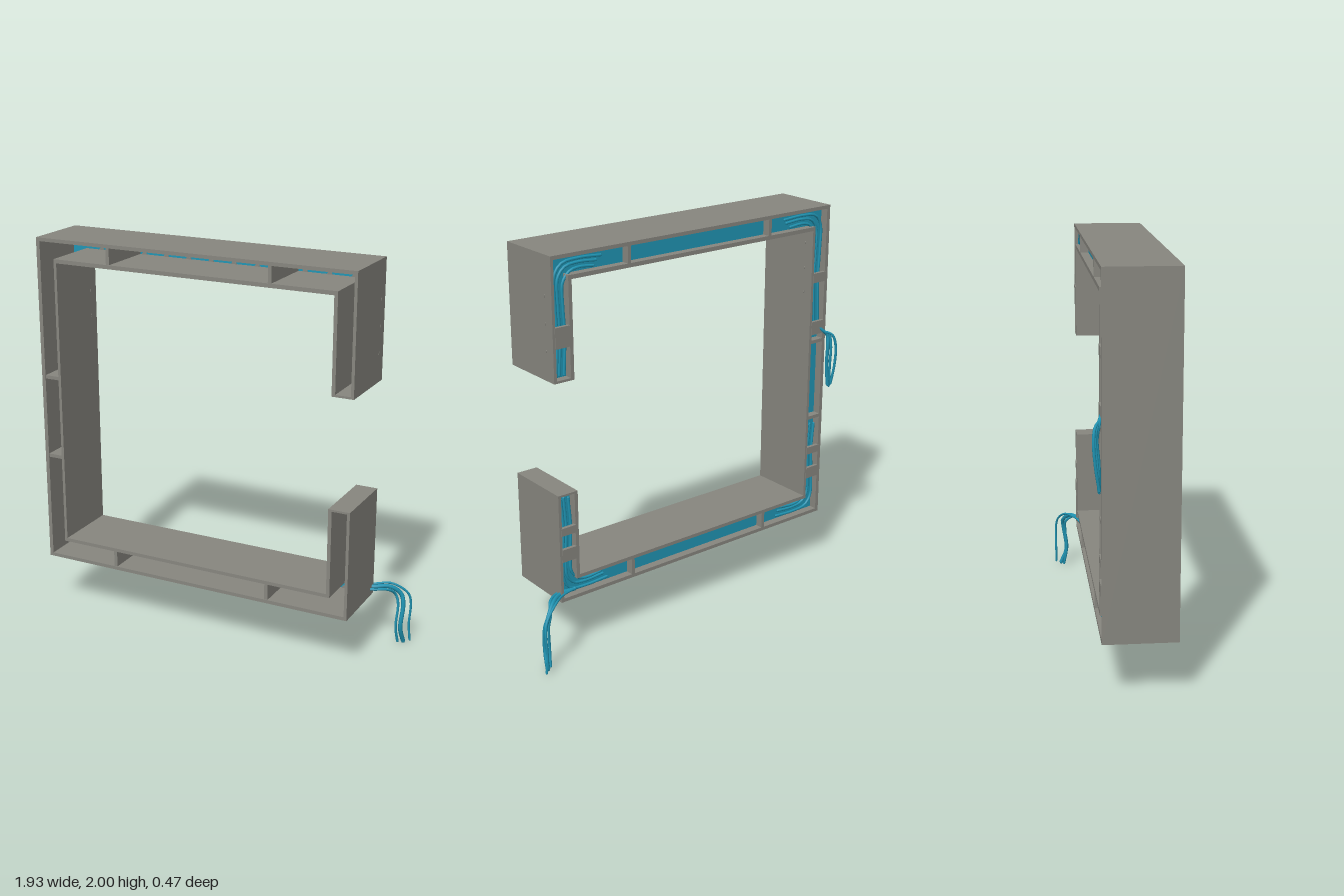
import * as THREE from 'three';

const grey = new THREE.MeshStandardMaterial({ color: 0x87867f });
grey.name = 'warm grey';
const teal = new THREE.MeshStandardMaterial({ color: 0x2095b4 });
teal.name = 'cable teal';

// Height of the duct's cross-section planes
const BACK = -0.12, FRONT = 0.235;

// C-shaped outline: outer rectangle, inner rectangle and the gap on the +x side
function outline(Type, x0, x1, y0, y1, ix0, ix1, iy0, iy1, gap0, gap1) {
  const p = [[x0, y0], [x1, y0], [x1, gap0], [ix1, gap0], [ix1, iy0], [ix0, iy0],
    [ix0, iy1], [ix1, iy1], [ix1, gap1], [x1, gap1], [x1, y1], [x0, y1]];
  return new Type(p.map(([x, y]) => new THREE.Vector2(x, y)));
}
const channel = (Type) => outline(Type, -0.89, 0.775, 0.308, 1.982, -0.812, 0.698, 0.392, 1.9, 0.842, 1.418);

function extrude(shape, z0, z1) {
  const g = new THREE.ExtrudeGeometry(shape, { depth: z1 - z0, bevelEnabled: false });
  return g.translate(0, 0, z0);
}

export function createModel() {
  const root = new THREE.Group();
  root.name = 'cableDuct';
  const add = (name, geo, mat, parent = root) => {
    const m = new THREE.Mesh(geo, mat);
    m.name = name;
    parent.add(m);
    return m;
  };
  const box = (name, x, y, w, h, z0, z1, parent) => {
    const m = add(name, new THREE.BoxGeometry(w, h, z1 - z0), grey, parent);
    m.position.set(x, y, (z0 + z1) / 2);
  };

  // Duct walls, open to the front and the back
  const walls = outline(THREE.Shape, -0.91, 0.79, 0.29, 2, -0.797, 0.68, 0.41, 1.88, 0.852, 1.407);
  walls.holes.push(channel(THREE.Path));
  add('ductWalls', extrude(walls, BACK, FRONT), grey);

  // Panel closing the channel near its back
  add('channelPanel', extrude(channel(THREE.Shape), -0.078, -0.07), teal);

  // Dividers across the channel
  const dividers = new THREE.Group();
  dividers.name = 'dividers';
  root.add(dividers);
  for (const y of [0.35, 1.941]) {
    for (const x of [-0.503, 0.36]) box('divider', x, y, 0.018, 0.09, BACK, FRONT - 0.003, dividers);
  }
  for (const y of [0.86, 1.285]) box('divider', -0.851, y, 0.085, 0.018, BACK, FRONT - 0.003, dividers);

  // Retaining bridges across the back of the upright channels
  const bridges = new THREE.Group();
  bridges.name = 'bridges';
  root.add(bridges);
  for (const [x, y, h] of [[-0.851, 1.63, 0.05], [-0.851, 1.36, 0.07], [-0.851, 0.67, 0.04],
    [-0.851, 0.54, 0.06], [0.736, 1.62, 0.1], [0.736, 0.66, 0.04], [0.736, 0.535, 0.065]]) {
    box('bridge', x, y, 0.085, h, BACK - 0.003, BACK + 0.015, bridges);
  }

  // Small round clips along the edges of the panel
  const clips = new THREE.Group();
  clips.name = 'panelClips';
  root.add(clips);
  const clipGeo = new THREE.CylinderGeometry(0.015, 0.015, 0.006, 10).rotateX(Math.PI / 2);
  const clip = (x, y) => add('clip', clipGeo, grey, clips).position.set(x, y, -0.067);
  for (let i = 0; i < 12; i++) {
    const x = -0.72 + i * 0.125;
    if (x < 0.68) {
      clip(x, 0.305);
      clip(x + 0.05, 0.395);
      clip(x, 1.897);
      clip(x + 0.05, 1.985);
    }
  }
  for (const y of [1.5, 1.63, 1.76]) {
    clip(-0.893, y);
    clip(-0.809, y + 0.05);
    clip(0.695, y);
    clip(0.778, y + 0.05);
  }

  // Cables
  const cables = new THREE.Group();
  cables.name = 'cables';
  root.add(cables);
  const cable = (name, pts, r) => {
    const curve = new THREE.CatmullRomCurve3(pts.map((p) => new THREE.Vector3(...p)));
    const geo = new THREE.TubeGeometry(curve, 28, r, 6);
    add(name, geo, teal, cables);
    // Round off both ends
    for (const t of [0, 1]) {
      const cap = add(name + 'End', new THREE.SphereGeometry(r, 6, 4), teal, cables);
      cap.position.copy(curve.getPoint(t));
    }
  };

  // Bundles turning each corner of the channel
  // [corner x, corner y, x direction inward, y direction inward, upright length]
  for (const [cx, cy, sx, sy, len] of [[-0.89, 1.982, 1, -1, 0.6], [0.775, 1.982, -1, -1, 0.55],
    [-0.89, 0.308, 1, 1, 0.5], [0.775, 0.308, -1, 1, 0.51]]) {
    for (let i = 0; i < 3; i++) {
      const d = 0.018 + i * 0.021, z = -0.095 + (i % 2) * 0.008;
      const P = (u, v) => [cx + sx * u, cy + sy * v, z];
      cable('cornerCable', [P(0.27 - i * 0.02, d + 0.006), P(0.15, d), P(d + 0.04, d + 0.012),
        P(d + 0.002, d + 0.06), P(d, 0.22), P(d + 0.006, 0.36), P(d - 0.004, len)], 0.007);
    }
  }

  // Loose ends leaving the lower +x corner
  for (const [x, z, r, bow] of [[0.905, -0.185, 0.007, 0.015], [0.93, -0.2, 0.011, 0.03], [0.955, -0.228, 0.006, 0]]) {
    const s = x - 0.93;
    cable('lowerLooseCable', [[0.7, 0.33, -0.098], [0.79, 0.33 + s * 0.2, -0.105 - s], [0.865, 0.325 + s * 0.3, -0.155 - s],
      [x - 0.015, 0.28, z + 0.01], [x, 0.23, z + bow * 0.5], [x - 0.005, 0.1, z + bow], [x + 0.003, 0.015, z]], r);
  }

  // Loose ends leaving the -x upright
  for (const [x, y, r] of [[-0.96, 1.0, 0.007], [-0.935, 0.99, 0.007], [-0.918, 1.0, 0.009]]) {
    const k = (x + 0.94) * 0.4;
    cable('sideLooseCable', [[-0.85, 1.37, -0.105], [-0.89, 1.335, -0.125], [(x - 0.91) / 2, 1.31, -0.142 + k],
      [x + 0.005, 1.25, -0.15 + k], [x, 1.14, -0.142 + k], [(x - 0.945) / 2, y + 0.03, -0.133]], r);
  }

  return root;
}
